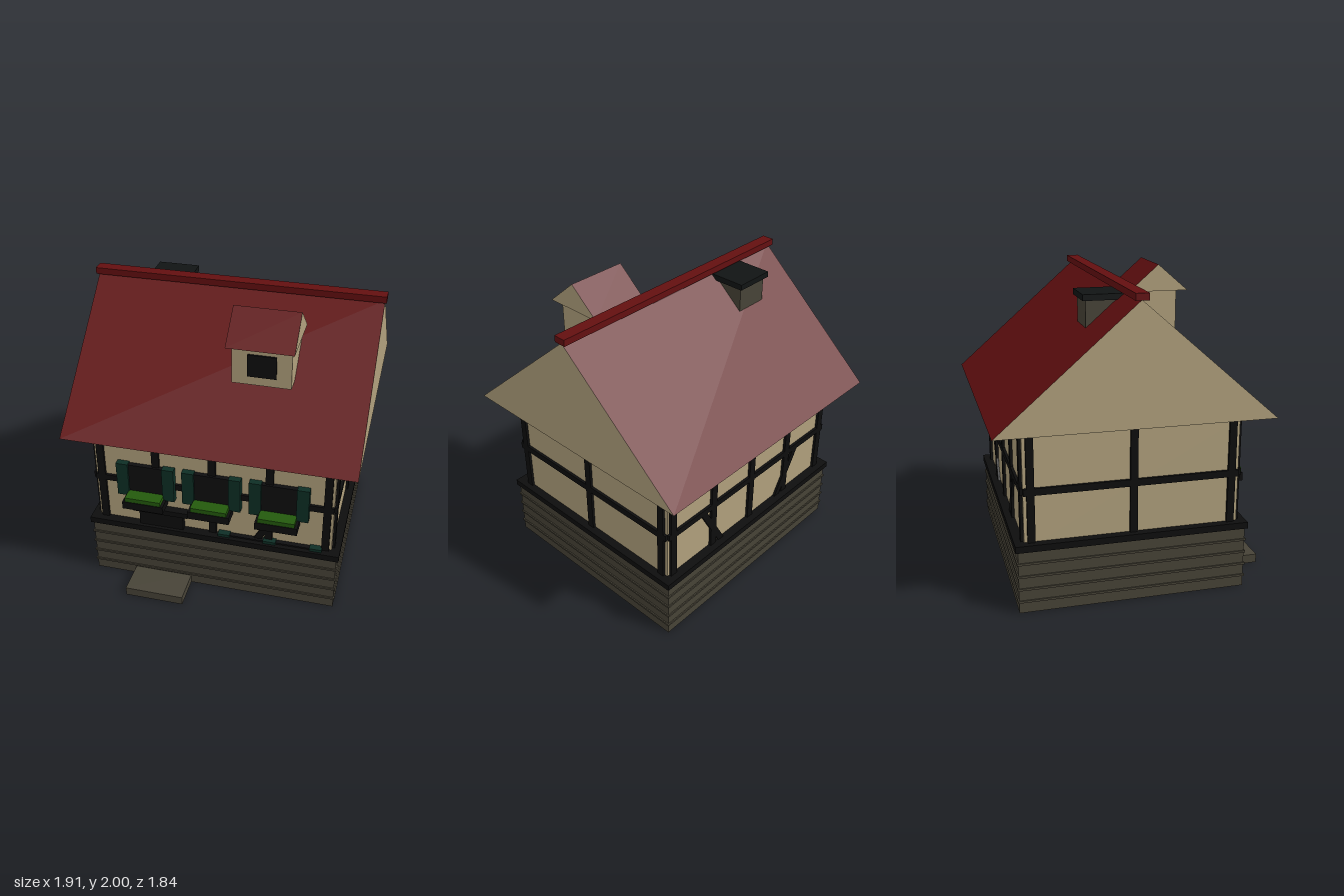
import * as THREE from 'three';

const material = (name, color) => {
  const m = new THREE.MeshStandardMaterial({ color });
  m.name = name;
  return m;
};

export function createModel() {
  const house = new THREE.Group();
  house.name = 'timberFrameHouse';

  const plaster = material('plaster', 0xb0a07c);
  const timber = material('darkTimber', 0x0d0d0d);
  const stone = material('stone', 0x474337);
  const roofRed = material('roofRed', 0x630f10);
  const shutterGreen = material('shutterGreen', 0x0d2e25);
  const leafGreen = material('leafGreen', 0x235a0c);
  const cap = material('chimneyCap', 0x111414);
  const glass = material('darkGlass', 0x0e0e0f);

  // Box given by its limits on each axis
  function box(name, mat, [x0, x1], [y0, y1], [z0, z1], parent = house) {
    const mesh = new THREE.Mesh(new THREE.BoxGeometry(x1 - x0, y1 - y0, z1 - z0), mat);
    mesh.position.set((x0 + x1) / 2, (y0 + y1) / 2, (z0 + z1) / 2);
    mesh.name = name;
    parent.add(mesh);
    return mesh;
  }

  // Gabled prism with its ridge along x: red slopes, plaster gables and underside
  function gable(name, [x0, x1], [y0, y1], [z0, z1]) {
    const zm = (z0 + z1) / 2;
    const a = [x0, y0, z1], b = [x1, y0, z1], c = [x1, y0, z0], d = [x0, y0, z0];
    const e = [x0, y1, zm], f = [x1, y1, zm];
    const corners = [
      a, b, f, a, f, e, c, d, e, c, e, f, // slopes
      b, c, f, d, a, e, a, d, c, a, c, b, // gables and underside
    ];
    const geo = new THREE.BufferGeometry();
    geo.setAttribute('position', new THREE.Float32BufferAttribute(corners.flat(), 3));
    geo.addGroup(0, 12, 0);
    geo.addGroup(12, 12, 1);
    geo.computeVertexNormals();
    const mesh = new THREE.Mesh(geo, [roofRed, plaster]);
    mesh.name = name;
    house.add(mesh);
  }

  // Stone base with projecting courses, sill and door step
  box('stoneBase', stone, [-0.837, 0.837], [0, 0.412], [-0.778, 0.697]);
  for (const y of [0.077, 0.16, 0.245, 0.33]) {
    box('stoneCourse', stone, [-0.845, 0.845], [y - 0.007, y + 0.007], [-0.786, 0.705]);
  }
  box('sill', timber, [-0.853, 0.853], [0.412, 0.455], [-0.794, 0.712]);
  box('doorStep', stone, [-0.55, -0.152], [0, 0.06], [0.69, 0.92]);

  // Plastered walls
  const zFront = 0.65, zBack = -0.732, xSide = 0.797, t = 0.018;
  box('walls', plaster, [-xSide, xSide], [0.4, 1.145], [zBack, zFront]);

  // Timber frame on the front and back
  for (const z of [[zFront, zFront + t], [zBack - t, zBack]]) {
    for (const x of [-0.755, -0.378, 0, 0.378, 0.755]) {
      box('post', timber, [x - 0.025, x + 0.025], [0.45, 1.145], z);
    }
    box('rail', timber, [-xSide, xSide], [0.764, 0.807], z);
    box('topBeam', timber, [-0.795, 0.795], [1.125, 1.167], z);
    for (const s of [-1, 1]) {
      const brace = box('brace', timber, [-0.022, 0.022], [-0.2, 0.2], [z[0], z[1] - 0.002]);
      brace.position.set(s * 0.385, 0.61, brace.position.z);
      brace.rotation.z = -s * 0.5;
    }
  }

  // Timber frame on the two sides
  for (const x of [[xSide, xSide + t], [-xSide - t, -xSide]]) {
    for (const z of [-0.687, -0.04, 0.602]) {
      box('sidePost', timber, x, [0.45, 1.145], [z - 0.024, z + 0.024]);
    }
    box('sideRail', timber, x, [0.762, 0.807], [zBack, zFront]);
  }

  // Window pane with a pair of shutters, optionally with a flower box
  function windowUnit(x, y, flowers) {
    const g = new THREE.Group();
    g.name = 'window';
    g.position.set(x, y, 0);
    house.add(g);
    box('pane', glass, [-0.118, 0.118], [0.01, 0.24], [zFront, 0.682], g);
    for (const s of [-1, 1]) {
      box('shutter', shutterGreen, [s * 0.155 - 0.04, s * 0.155 + 0.04], [0, 0.249], [zFront, 0.695], g);
    }
    if (!flowers) return;
    box('flowerBox', timber, [-0.138, 0.138], [-0.05, 0.005], [0.66, 0.776], g);
    box('flowers', leafGreen, [-0.12, 0.12], [0.005, 0.036], [0.68, 0.772], g);
  }
  for (const x of [-0.445, 0, 0.445]) windowUnit(x, 0.685, true);
  for (const x of [0.236, 0.541]) windowUnit(x, 0.226, false);

  // Door
  box('door', timber, [-0.5, -0.198], [0.06, 0.57], [zFront, 0.69]);
  box('doorLintel', timber, [-0.537, -0.162], [0.567, 0.605], [zFront, 0.703]);

  // Main roof and ridge
  gable('roof', [-0.941, 0.941], [1.172, 1.938], [-0.92, 0.838]);
  box('ridgeCap', roofRed, [-0.953, 0.953], [1.935, 1.978], [-0.082, 0]);

  // Chimney
  box('chimney', stone, [-0.592, -0.36], [1.6, 1.9], [-0.29, -0.06]);
  box('chimneyCap', cap, [-0.613, -0.338], [1.888, 1.926], [-0.312, -0.04]);

  // Dormer
  box('dormer', plaster, [0.094, 0.467], [1.545, 1.825], [0.19, 0.51]);
  gable('dormerRoof', [0.072, 0.492], [1.818, 2], [0.163, 0.585]);
  box('dormerWindow', glass, [0.194, 0.374], [1.607, 1.755], [0.5, 0.522]);

  return house;
}
